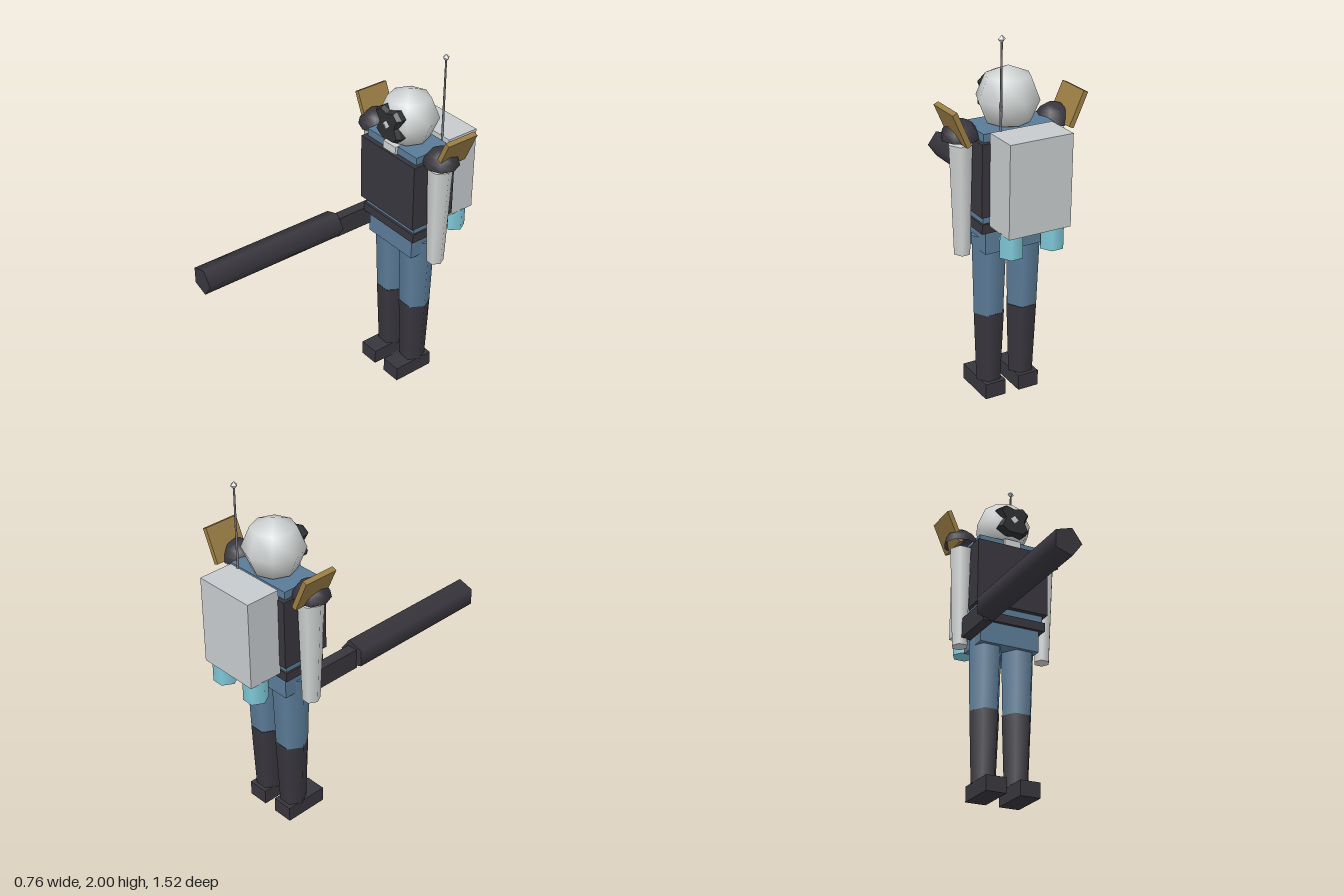
import * as THREE from 'three';

const mat = (name, color, extra = {}) => {
  const m = new THREE.MeshStandardMaterial({ color, ...extra });
  m.name = name;
  return m;
};

export function createModel() {
  const dark = mat('charcoal armour', 0x38363d, { side: THREE.DoubleSide });
  const blue = mat('blue suit', 0x5a7b97);
  const light = mat('light grey', 0xcfd2d2);
  const packGrey = mat('pack grey', 0xc6cacc);
  const gold = mat('brass', 0x9a7d44);
  const cyan = mat('cyan', 0x7fc8d8);
  const steel = mat('steel', 0x7c7c7e);
  const visorMat = mat('visor black', 0x2d2f32);

  const model = new THREE.Group();
  model.name = 'trooper';
  const bodyZ = -0.43;

  const add = (name, geometry, material, x = 0, y = 0, z = 0) => {
    const mesh = new THREE.Mesh(geometry, material);
    mesh.name = name;
    mesh.position.set(x, y, z);
    model.add(mesh);
    return mesh;
  };
  // Box given by its limits on each axis
  const box = (name, material, [x0, x1], [y0, y1], [z0, z1]) =>
    add(name, new THREE.BoxGeometry(x1 - x0, y1 - y0, z1 - z0), material,
      (x0 + x1) / 2, (y0 + y1) / 2, (z0 + z1) / 2);
  // Upright six-sided post with corners pointing sideways
  const post = (name, material, rTop, rBottom, x, y0, y1, z) =>
    add(name, new THREE.CylinderGeometry(rTop, rBottom, y1 - y0, 6).rotateY(Math.PI / 2),
      material, x, (y0 + y1) / 2, z);

  // Torso, vest, belt and hips
  box('hips', blue, [-0.18, 0.18], [0.86, 1.03], [-0.537, -0.322]);
  box('belt', dark, [-0.21, 0.21], [0.985, 1.037], [-0.555, -0.303]);
  box('torso', blue, [-0.2, 0.2], [1.03, 1.51], [-0.545, -0.317]);
  box('vest', dark, [-0.22, 0.22], [1.08, 1.467], [-0.57, -0.288]);
  box('collarTab', light, [-0.05, 0.05], [1.4, 1.512], [-0.34, -0.3]);

  // Legs, arms and shoulders, mirrored
  for (const s of [-1, 1]) {
    const side = s > 0 ? 'left' : 'right';
    box(side + 'Foot', dark, [s * 0.1 - 0.06, s * 0.1 + 0.06], [0, 0.087], [-0.515, -0.263]);
    post(side + 'Boot', dark, 0.09, 0.073, s * 0.098, 0.083, 0.49, bodyZ);
    post(side + 'Thigh', blue, 0.102, 0.088, s * 0.1, 0.485, 0.93, bodyZ);

    const arm = post(side + 'Arm', light, 0.066, 0.046, s * 0.26, 0.847, 1.44, bodyZ);
    arm.scale.z = 1.07;
    arm.rotation.z = -s * 0.013;

    add(side + 'ShoulderDome',
      new THREE.SphereGeometry(0.098, 8, 4, 0, Math.PI * 2, 0, Math.PI / 2),
      dark, s * 0.268, 1.467, bodyZ);
    const plate = add(side + 'ShoulderPlate',
      new THREE.BoxGeometry(0.028, 0.195, 0.196), gold, s * 0.328, 1.557, -0.47);
    plate.rotation.z = -s * 0.42;

    post(side + 'Nozzle', cyan, 0.066, 0.066, s * 0.117, 0.905, 1.035, -0.682);
  }

  // Backpack and antenna
  box('backpack', packGrey, [-0.176, 0.176], [1.03, 1.52], [-0.76, -0.565]);
  add('antenna', new THREE.CylinderGeometry(0.005, 0.007, 0.5, 6), steel, 0.118, 1.73, -0.568);
  add('antennaTip', new THREE.OctahedronGeometry(0.021), light, 0.118, 1.979, -0.568);

  // Helmet
  add('helmet', new THREE.SphereGeometry(0.165, 8, 4), light, 0, 1.635, bodyZ);

  // Notched visor plate; the helmet's front point shows through its middle
  const outline = [[-0.095, 0.06], [-0.05, 0.09], [0, 0.075], [0.06, 0.09], [0.095, 0.058],
    [0.07, 0], [0.095, -0.06], [0.062, -0.092], [-0.035, -0.095], [-0.088, -0.06], [-0.06, 0]]
    .map(([x, y]) => new THREE.Vector2(x * 0.88, y * 0.88));
  const visor = new THREE.ExtrudeGeometry(new THREE.Shape(outline), {
    depth: 0.03, bevelEnabled: true, bevelThickness: 0.022, bevelSize: 0.012, bevelSegments: 1,
  });
  add('visor', visor, visorMat, 0, 1.635, -0.327);

  // Long gun held in the right hand
  box('gunBody', dark, [-0.265, -0.205], [0.885, 1.0], [-0.4, -0.11]);
  add('gunBarrel', new THREE.CylinderGeometry(0.08, 0.08, 0.875, 5).rotateY(Math.PI / 2)
    .rotateX(Math.PI / 2), dark, -0.235, 0.96, 0.3225);

  return model;
}
